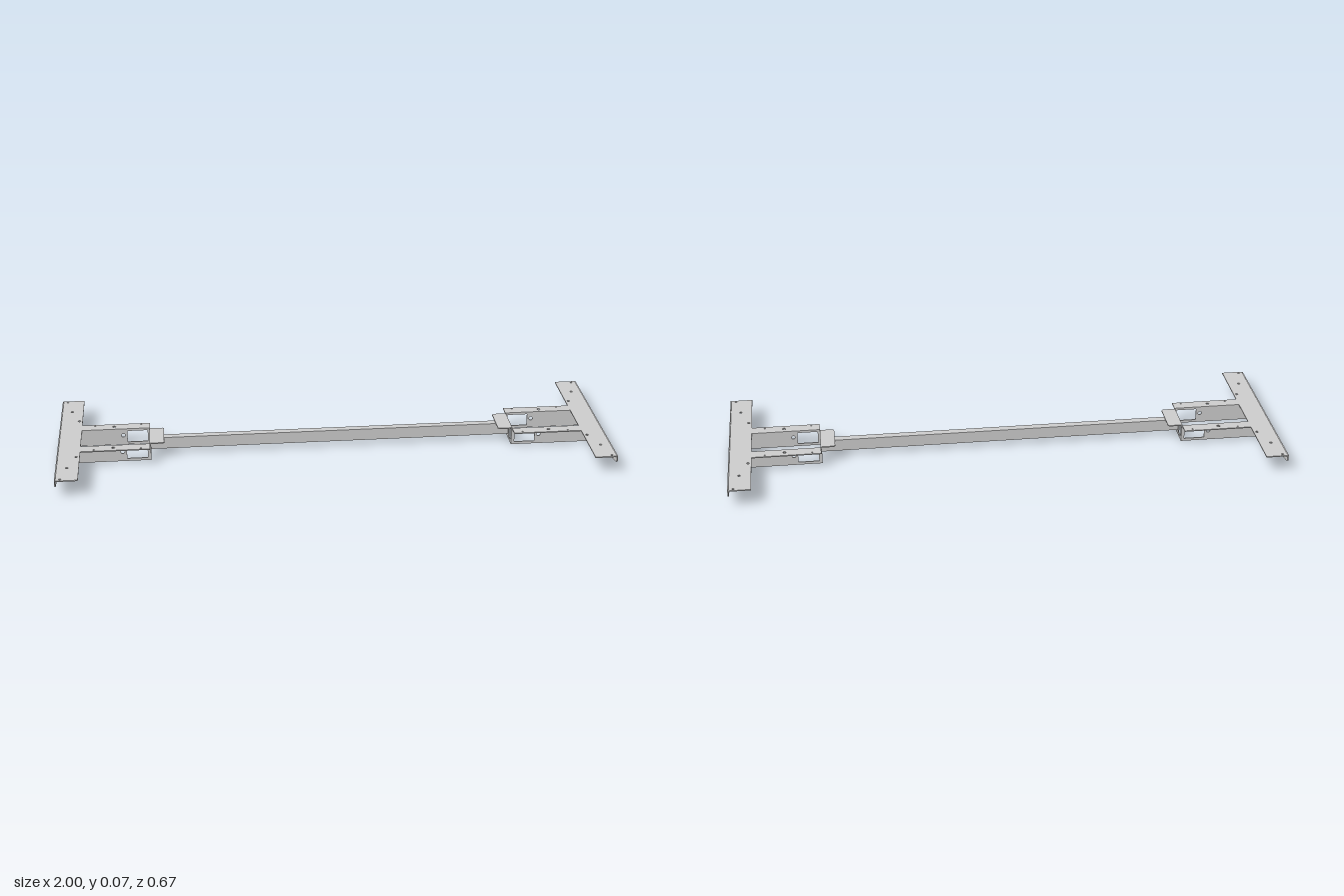
import * as THREE from 'three';

const T = 0.004;      // sheet thickness
const TOP = 0.068;    // height of the frame
const material = new THREE.MeshStandardMaterial({ color: 0xcccccc, side: THREE.DoubleSide });

function polygon(points) {
  return new THREE.Shape(points.map(([a, b]) => new THREE.Vector2(a, b)));
}

function rect(x0, y0, x1, y1) {
  return polygon([[x0, y0], [x1, y0], [x1, y1], [x0, y1]]);
}

function addHole(shape, x, y, r) {
  shape.holes.push(new THREE.Path().absarc(x, y, r, 0, Math.PI * 2, true));
}

function sheet(shape) {
  return new THREE.ExtrudeGeometry(shape, { depth: T, bevelEnabled: false, curveSegments: 12 });
}

function addMesh(parent, name, geometry) {
  const mesh = new THREE.Mesh(geometry, material);
  mesh.name = name;
  parent.add(mesh);
  return mesh;
}

// Horizontal sheet: shape drawn in x and z, upper face at the frame top
function flat(shape) {
  return sheet(shape).rotateX(Math.PI / 2).translate(0, TOP, 0);
}

// Upright sheet across the frame: shape drawn in z and y, starting at x
function across(shape, x) {
  return sheet(shape).rotateY(Math.PI / 2).translate(x, 0, 0);
}

function buildEnd() {
  const end = new THREE.Group();

  // Tapered end plate with rounded lower corners
  const plate = new THREE.Shape();
  plate.moveTo(-0.083, 0);
  plate.lineTo(0.083, 0);
  plate.lineTo(0.318, 0.039);
  plate.quadraticCurveTo(0.333, 0.042, 0.333, 0.054);
  plate.lineTo(0.333, TOP - T);
  plate.lineTo(-0.333, TOP - T);
  plate.lineTo(-0.333, 0.054);
  plate.quadraticCurveTo(-0.333, 0.042, -0.318, 0.039);
  addMesh(end, 'endPlate', across(plate, 1 - T));

  // Folded top flange of the end plate
  const flange = rect(0.918, -0.333, 1 - T, 0.333);
  for (const s of [-1, 1]) {
    addHole(flange, 0.96, s * 0.235, 0.005);
    addHole(flange, 0.93, s * 0.15, 0.005);
    addHole(flange, 0.98, s * 0.322, 0.004);
  }
  addMesh(end, 'endPlateFlange', flat(flange));

  // Rounded fold between the plate and its flange
  const fold = new THREE.CylinderGeometry(T, T, 0.666, 6, 1, false, 0, Math.PI / 2);
  fold.rotateX(-Math.PI / 2).rotateZ(Math.PI / 2);
  fold.computeBoundingBox();
  const b = fold.boundingBox;
  fold.translate(1 - b.max.x, TOP - b.max.y, 0);
  addMesh(end, 'endPlateFold', fold);

  for (const s of [-1, 1]) {
    // Rail web with a window and bolt holes
    const web = rect(0.665, 0.004, 1 - T, TOP - T);
    web.holes.push(rect(0.677, 0.014, 0.752, 0.059));
    addHole(web, 0.767, 0.041, 0.007);
    addHole(web, 0.96, 0.041, 0.007);
    addMesh(end, 'railWeb', sheet(web).translate(0, 0, s > 0 ? 0.067 : -0.067 - T));

    // Rail top flange, turned outward
    const railTop = rect(0.668, s * 0.067, 0.918, s * 0.11);
    addHole(railTop, 0.8, s * 0.088, 0.006);
    addHole(railTop, 0.7, s * 0.1, 0.003);
    addHole(railTop, 0.87, s * 0.1, 0.003);
    addMesh(end, 'railFlange', flat(railTop));
  }

  // Cross bracket joining the rails, with a window on each side of the beam
  const bracket = rect(-0.067, 0.004, 0.067, TOP - T);
  for (const s of [-1, 1]) {
    const [a, c] = [s * 0.022, s * 0.056];
    bracket.holes.push(rect(Math.min(a, c), 0.014, Math.max(a, c), 0.056));
  }
  addMesh(end, 'crossBracket', across(bracket, 0.665));

  // Bracket flange with clipped corners
  addMesh(end, 'crossBracketFlange', flat(polygon([
    [0.669, -0.063], [0.669, 0.063], [0.622, 0.063], [0.616, 0.057],
    [0.616, -0.057], [0.622, -0.063],
  ])));
  return end;
}

export function createModel() {
  const model = new THREE.Group();
  model.name = 'supportFrame';

  // Long beam between the two ends
  addMesh(model, 'beam', new THREE.BoxGeometry(1.33, 0.044, 0.027)).position.y = 0.042;

  const leftEnd = buildEnd();
  leftEnd.name = 'leftEnd';
  const rightEnd = buildEnd();
  rightEnd.name = 'rightEnd';
  rightEnd.rotation.y = Math.PI;
  model.add(leftEnd, rightEnd);
  return model;
}
